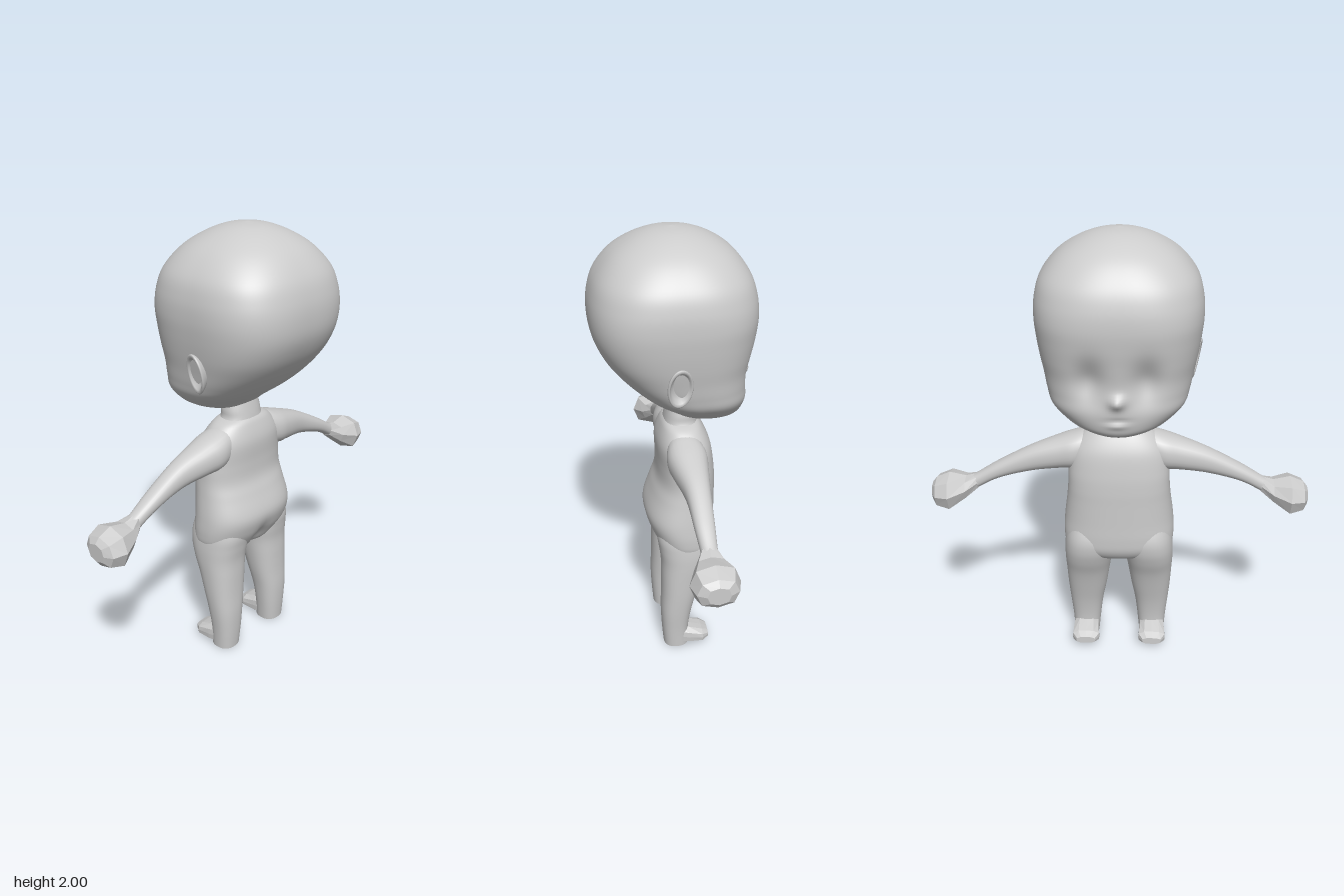
import * as THREE from 'three';

const skin = new THREE.MeshStandardMaterial({ color: 0xcccccc });
skin.name = 'light grey skin';

// Smooth interpolation of section rows [s, uMin, uMax, vMin, vMax, exponent]
function refine(rows, steps) {
  const out = [];
  for (let i = 0; i < rows.length - 1; i++) {
    const p = k => rows[Math.min(rows.length - 1, Math.max(0, i + k))];
    for (let j = 0; j < steps; j++) {
      const t = j / steps;
      out.push(rows[i].map((b, c) => {
        const a = p(-1)[c], d = p(1)[c], e = p(2)[c];
        return b + 0.5 * t * (d - a + t * (2 * a - 5 * b + 4 * d - e + t * (3 * (b - d) + e - a)));
      }));
    }
  }
  out.push(rows[rows.length - 1]);
  return out;
}

// Swap triangle corners so faces point the other way
function flip(geo) {
  const a = geo.index.array;
  for (let i = 0; i < a.length; i += 3) [a[i], a[i + 1]] = [a[i + 1], a[i]];
  return geo;
}

// Closed skin over superellipse sections; map places (s, u, v) in space
function loft(rows, n, map, deform) {
  const pos = [], idx = [];
  const add = (s, u, v) => {
    const p = new THREE.Vector3(...map(s, u, v));
    if (deform) deform(p);
    pos.push(p.x, p.y, p.z);
  };
  const ring = ([s, u0, u1, v0, v1, exp = 2.4]) => {
    for (let k = 0; k < n; k++) {
      const c = Math.cos(k / n * Math.PI * 2), d = Math.sin(k / n * Math.PI * 2);
      const r = Math.pow(Math.abs(c) ** exp + Math.abs(d) ** exp, -1 / exp);
      add(s, (u0 + u1) / 2 + (u1 - u0) / 2 * r * c, (v0 + v1) / 2 + (v1 - v0) / 2 * r * d);
    }
  };
  rows.forEach(ring);
  for (let i = 0; i < rows.length - 1; i++) {
    for (let k = 0; k < n; k++) {
      const a = i * n + k, b = i * n + (k + 1) % n;
      idx.push(a, b, a + n, b, b + n, a + n);
    }
  }
  // End caps with their own corners
  [rows[0], rows[rows.length - 1]].forEach((r, end) => {
    const o = pos.length / 3;
    ring(r);
    add(r[0], (r[1] + r[2]) / 2, (r[3] + r[4]) / 2);
    for (let k = 0; k < n; k++) {
      const a = o + k, b = o + (k + 1) % n;
      idx.push(...(end ? [a, b, o + n] : [b, a, o + n]));
    }
  });
  const geo = new THREE.BufferGeometry();
  geo.setAttribute('position', new THREE.Float32BufferAttribute(pos, 3));
  geo.setIndex(idx);
  // Signed volume tells whether the faces point inward
  const at = i => new THREE.Vector3().fromArray(pos, idx[i] * 3);
  let vol = 0;
  for (let i = 0; i < idx.length; i += 3) vol += at(i).dot(at(i + 1).cross(at(i + 2)));
  if (vol < 0) flip(geo);
  geo.computeVertexNormals();
  return geo;
}

const upright = (s, u, v) => [u, s, v];
const sideways = (s, u, v) => [s, u, v];
const forward = (s, u, v) => [u, v, s];
const half = rows => rows.map(([y, x, z0, z1, e = 2.4]) => [y, -x, x, z0, z1, e]);
const bump = (x, y, cx, cy, sx, sy) => Math.exp(-(((x - cx) / sx) ** 2) - ((y - cy) / sy) ** 2);

function facet(geo) {
  const g = geo.toNonIndexed();
  g.computeVertexNormals();
  return g;
}

export function createModel() {
  const model = new THREE.Group();
  const put = (name, geo) => {
    const m = new THREE.Mesh(geo, skin);
    m.name = name;
    model.add(m);
  };
  const pair = (name, geo, flat = false) => {
    const other = flip(geo.clone().scale(-1, 1, 1));
    put(name + 'Left', flat ? facet(geo) : geo);
    put(name + 'Right', flat ? facet(other) : other);
  };

  // Head: big squarish skull, face towards -z
  const head = half([
    [1.178, 0.05, -0.25, -0.12, 2], [1.19, 0.115, -0.28, -0.04, 2.1], [1.21, 0.17, -0.3, 0.005, 2.2],
    [1.24, 0.22, -0.31, 0.04, 2.3], [1.3, 0.283, -0.318, 0.122, 2.5], [1.36, 0.305, -0.318, 0.192, 2.6],
    [1.43, 0.32, -0.32, 0.258, 2.7], [1.5, 0.335, -0.33, 0.306, 2.8], [1.58, 0.348, -0.343, 0.34, 2.8],
    [1.66, 0.355, -0.35, 0.35, 2.8], [1.74, 0.35, -0.343, 0.343, 2.7], [1.82, 0.325, -0.316, 0.316, 2.6],
    [1.9, 0.26, -0.255, 0.255, 2.4], [1.955, 0.178, -0.176, 0.176, 2.2],
    [1.988, 0.092, -0.092, 0.092, 2], [2, 0.004, -0.004, 0.004, 2],
  ]);
  // Soft eye sockets, small nose and mouth
  const face = p => {
    if (p.z > -0.15) return;
    const ax = Math.abs(p.x);
    p.z += 0.036 * bump(ax, p.y, 0.115, 1.44, 0.06, 0.09);
    p.z -= 0.03 * bump(p.x, p.y, 0, 1.36, 0.032, 0.028);
    p.z += 0.007 * bump(p.x, p.y, 0, 1.275, 0.05, 0.01);
    p.z -= 0.008 * bump(p.x, p.y, 0, 1.255, 0.04, 0.014);
  };
  put('head', loft(refine(head, 6), 144, upright, face));

  // Ears: oval bowls with a rounded rim
  const earProfile = [[0.55, -0.5], [0.8, 0.2], [0.98, 0.7], [1, 0.9], [0.92, 1],
    [0.8, 0.9], [0.65, 0.45], [0.35, 0.25], [0, 0.3]].map(p => new THREE.Vector2(...p));
  const ear = new THREE.LatheGeometry(earProfile, 28);
  ear.rotateZ(-Math.PI / 2).scale(0.036, 0.09, 0.055);
  ear.rotateY(0.2).rotateZ(-0.18).translate(0.305, 1.44, 0.025);
  pair('ear', ear);

  // Neck
  put('neck', loft(refine(half([
    [1.1, 0.13, -0.125, 0.04], [1.15, 0.1, -0.112, 0.032],
    [1.19, 0.095, -0.112, 0.024], [1.25, 0.08, -0.11, 0.01],
  ]), 4), 32, upright));

  // Torso with rounded seat and a slight cleft
  const torso = half([
    [1.152, 0.085, -0.105, 0.028], [1.125, 0.15, -0.132, 0.047], [1.05, 0.21, -0.168, 0.068],
    [0.95, 0.226, -0.185, 0.066], [0.87, 0.23, -0.19, 0.07], [0.8, 0.237, -0.19, 0.094],
    [0.7, 0.25, -0.19, 0.125], [0.62, 0.254, -0.19, 0.108], [0.56, 0.243, -0.183, 0.077],
    [0.515, 0.19, -0.155, 0.045], [0.49, 0.09, -0.11, 0.01],
  ]);
  const cleft = p => {
    if (p.z > 0) p.z -= 0.025 * bump(p.x, p.y, 0, 0.55, 0.035, 0.07);
  };
  put('torso', loft(refine(torso, 6), 64, upright, cleft));

  // Legs, sunk into the hips at the top
  pair('leg', loft(refine([
    [0.72, 0.06, 0.215, -0.14, 0.06], [0.62, 0.025, 0.243, -0.177, 0.085],
    [0.55, 0.022, 0.252, -0.178, 0.079], [0.48, 0.033, 0.253, -0.158, 0.07],
    [0.4, 0.045, 0.25, -0.125, 0.07], [0.3, 0.06, 0.245, -0.095, 0.071],
    [0.2, 0.078, 0.237, -0.07, 0.074], [0.1, 0.09, 0.227, -0.056, 0.07],
    [0, 0.1, 0.22, -0.056, 0.062],
  ], 5), 40, upright));

  // Feet: faceted wedges towards the toes
  pair('foot', loft([
    [0.0, 0.105, 0.215, 0, 0.11, 3.5], [-0.055, 0.1, 0.222, 0, 0.094, 3.5],
    [-0.12, 0.095, 0.225, 0.008, 0.072, 3.5], [-0.15, 0.115, 0.205, 0.022, 0.056, 3.5],
  ], 12, forward), true);

  // Arms taper outward and down from inside the shoulders
  pair('arm', loft(refine([
    [0.05, 1.0, 1.13, -0.085, 0.015], [0.14, 0.96, 1.123, -0.115, 0.04],
    [0.2, 0.942, 1.108, -0.127, 0.048], [0.27, 0.937, 1.085, -0.118, 0.036],
    [0.4, 0.92, 1.035, -0.1, 0.008], [0.55, 0.877, 0.955, -0.085, 0],
    [0.66, 0.818, 0.888, -0.076, -0.008], [0.72, 0.79, 0.865, -0.08, 0],
  ], 5), 28, sideways));

  // Hands: faceted mitts
  pair('hand', loft([
    [0.64, 0.825, 0.895, -0.075, -0.008], [0.7, 0.775, 0.878, -0.105, 0.03],
    [0.775, 0.72, 0.895, -0.14, 0.065], [0.835, 0.738, 0.87, -0.122, 0.047],
    [0.855, 0.765, 0.845, -0.085, 0.01],
  ], 8, sideways), true);

  return model;
}
